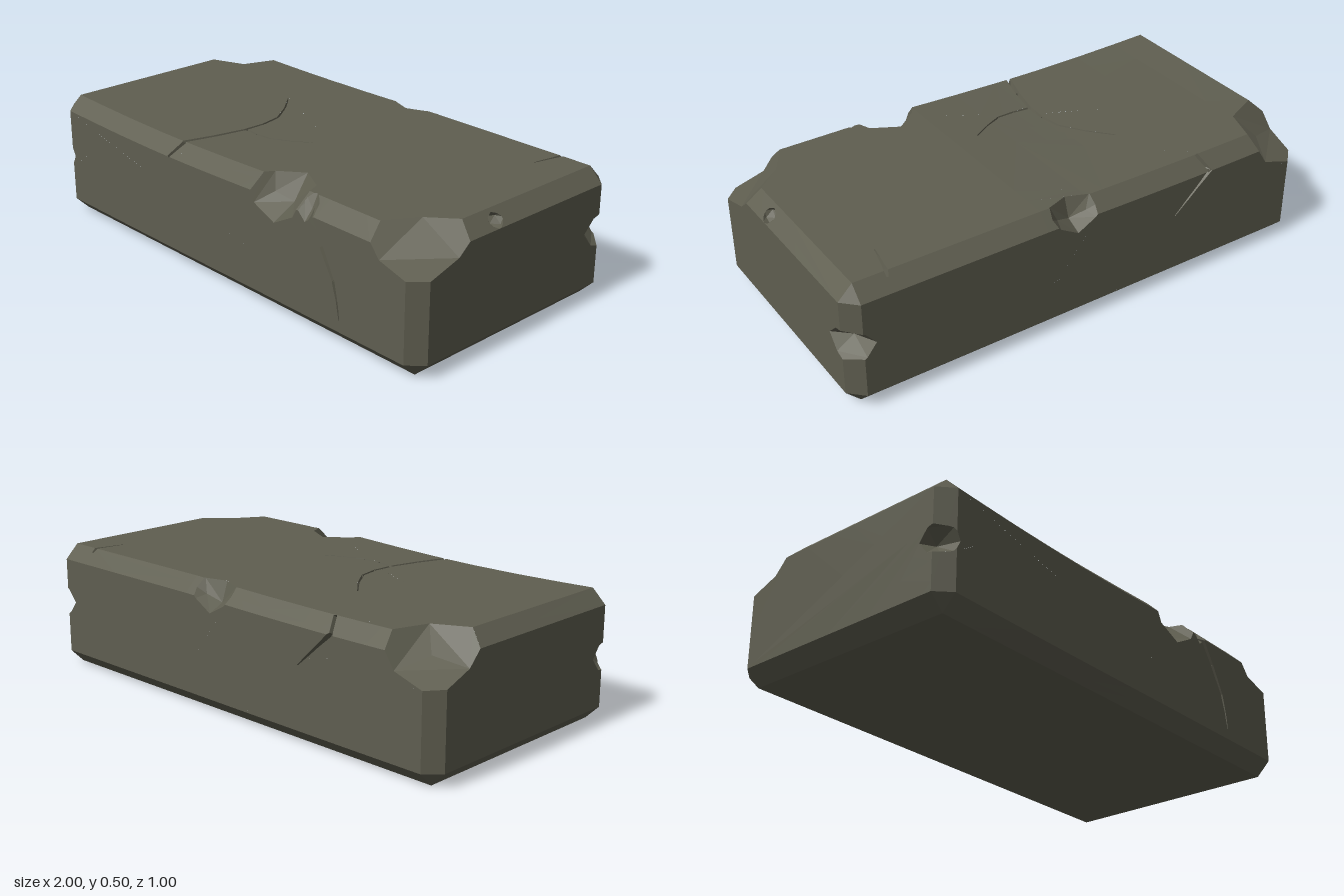
import * as THREE from 'three';
import { ConvexGeometry } from 'three/addons/geometries/ConvexGeometry.js';

const V = (x, y, z) => new THREE.Vector3(x, y, z);
const EPS = 1e-6;
const SIGNS = [-1, 0, 1];

// Every direction of a 3 x 3 x 3 lattice except its middle
const LATTICE = SIGNS.flatMap((x) => SIGNS.flatMap((y) => SIGNS.map((z) => V(x, y, z))))
  .filter((d) => d.lengthSq() > 0);

// Small seeded random numbers
let seed = 7;
const random = () => (seed = (seed * 16807) % 2147483647) / 2147483647;

// Convex solid from points: its faces as triangles, and their planes
function solid(points) {
  const p = new ConvexGeometry(points).attributes.position;
  const faces = [], planes = [];
  for (let i = 0; i < p.count; i += 3) {
    const tri = [0, 1, 2].map((k) => new THREE.Vector3().fromBufferAttribute(p, i + k));
    const plane = new THREE.Plane().setFromCoplanarPoints(...tri);
    if (plane.normal.lengthSq() < 0.5) continue;
    faces.push(tri);
    planes.push(plane);
  }
  return { faces, planes };
}

// Split a convex polygon by a plane: [outside, inside]
function split(poly, plane) {
  const d = poly.map((v) => plane.distanceToPoint(v));
  if (d.every((k) => k <= EPS)) return [null, poly];
  if (d.every((k) => k >= -EPS)) return [poly, null];
  const out = [], inn = [];
  poly.forEach((v, i) => {
    const j = (i + 1) % poly.length;
    if (d[i] >= -EPS) out.push(v);
    if (d[i] <= EPS) inn.push(v);
    if ((d[i] > EPS && d[j] < -EPS) || (d[i] < -EPS && d[j] > EPS)) {
      const m = v.clone().lerp(poly[j], d[i] / (d[i] - d[j]));
      out.push(m);
      inn.push(m);
    }
  });
  return [out, inn];
}

// Remove what lies inside a convex cutter
function subtract(polys, cutter) {
  return polys.flatMap((poly) => {
    const kept = [];
    let rest = poly;
    for (const plane of cutter.planes) {
      const [out, inn] = split(rest, plane);
      if (out) kept.push(out);
      rest = inn;
      if (!rest) return [poly];
    }
    return kept;
  });
}

// Chip: a rough faceted gem around a point on an edge or corner
function chip(centre, reach) {
  return solid(LATTICE.map((d) => {
    const fullness = [1, 0.65, 0.45][d.lengthSq() - 1] * (0.9 + 0.2 * random());
    return d.clone().multiply(reach).multiplyScalar(fullness).add(centre);
  }));
}

// Crack: V-shaped grooves along a curve, narrowing from width w0 to w1
function crack(normal, w0, w1, ...path) {
  const n = normal.clone().normalize();
  const count = (path.length - 1) * 2;
  const pts = new THREE.CatmullRomCurve3(path).getPoints(count);
  return pts.slice(1).map((end, i) => {
    const side = n.clone().cross(end.clone().sub(pts[i])).normalize();
    return solid([i, i + 1].flatMap((k) => {
      const w = THREE.MathUtils.lerp(w0, w1, k / count);
      const top = pts[k].clone().addScaledVector(n, 0.01);
      return [
        top.clone().addScaledVector(side, w),
        top.clone().addScaledVector(side, -w),
        pts[k].clone().addScaledVector(n, -0.008 - 2 * w),
      ];
    }));
  });
}

// Gentle sag of the worn top, strongest at the front
const sag = (v) => (v.x > 0.2 ? 0 : 0.015 * Math.sin((Math.PI * (v.x + 1)) / 1.2))
  * (v.y / 0.5) * (0.75 + v.z * 0.5);

// Block with a bevel along every edge
function bevelledBlock(size, bevel) {
  const corners = LATTICE.filter((d) => d.lengthSq() === 3);
  return solid(corners.flatMap((c) => ['x', 'y', 'z'].map((axis) => {
    const half = size.clone().multiplyScalar(0.5).subScalar(bevel);
    half[axis] += bevel;
    return half.multiply(c).add(V(0, size.y / 2, 0));
  })));
}

function makeChips() {
  return [
    chip(V(1, 0.5, 0.5), V(0.25, 0.15, 0.29)), // front left corner
    chip(V(-1, 0.5, -0.5), V(0.27, 0.18, 0.27)), // back right corner
    chip(V(0.31, 0.5, 0.5), V(0.15, 0.14, 0.15)), // front top edge
    chip(V(0.47, 0.5, 0.5), V(0.06, 0.08, 0.06)),
    chip(V(0.07, 0.5, -0.5), V(0.13, 0.11, 0.09)), // back top edge
    chip(V(0.98, 0.47, 0.11), V(0.04, 0.035, 0.035)), // left top edge
    chip(V(1, 0.27, -0.5), V(0.1, 0.075, 0.13)), // back left upright edge
    chip(V(-1, 0.25, 0.5), V(0.07, 0.07, 0.12)), // front right upright edge
  ];
}

function makeCracks() {
  const up = V(0, 1, 0), front = V(0, 0, 1), back = V(0, 0, -1);
  return [
    // Long curved crack on the top, its branch, and a short one at the back
    ...crack(up, 0.012, 0.004, V(-0.26, 0.5, 0.45), V(-0.195, 0.5, 0.2), V(-0.21, 0.5, 0.02), V(-0.35, 0.5, -0.16)),
    ...crack(up, 0.009, 0.003, V(-0.196, 0.5, 0.197), V(-0.05, 0.5, 0.2), V(0.1, 0.5, 0.12)),
    ...crack(up, 0.011, 0.003, V(0.82, 0.5, -0.46), V(0.79, 0.5, -0.32)),
    // Over the bevels
    ...crack(V(0, 1, 1), 0.013, 0.008, V(-0.255, 0.5, 0.444), V(-0.29, 0.444, 0.5)),
    ...crack(V(0, 1, -1), 0.01, 0.01, V(-0.51, 0.5, -0.444), V(-0.54, 0.444, -0.5)),
    // Down the front and the back
    ...crack(front, 0.015, 0.003, V(0.48, 0.46, 0.5), V(0.61, 0.24, 0.5), V(0.64, 0.1, 0.5)),
    ...crack(back, 0.012, 0.003, V(-0.54, 0.45, -0.5), V(-0.38, 0.3, -0.5)),
  ];
}

export function createModel() {
  seed = 7;
  const stone = new THREE.MeshStandardMaterial({ color: 0x5f5e50 });
  stone.name = 'stone';

  const block = bevelledBlock(V(2, 0.5, 1), 0.056);
  const cutters = [...makeChips(), ...makeCracks()];

  // Outer faces, then the inside of each cut turned to face outwards
  let polys = cutters.reduce(subtract, block.faces);
  cutters.forEach((cutter) => {
    let faces = cutter.faces;
    for (const plane of block.planes) faces = faces.map((f) => split(f, plane)[1]).filter(Boolean);
    faces = cutters.filter((other) => other !== cutter).reduce(subtract, faces);
    polys.push(...faces.map((f) => [...f].reverse()));
  });

  // Slice along x so the top can sag
  for (let i = 0; i < 6; i++) {
    const plane = new THREE.Plane(V(1, 0, 0), 0.8 - i * 0.2);
    polys = polys.flatMap((p) => split(p, plane).filter(Boolean));
  }

  // Fan each polygon into flat triangles
  const points = [];
  for (const poly of polys) {
    for (let i = 1; i < poly.length - 1; i++) {
      for (const v of [poly[0], poly[i], poly[i + 1]]) points.push(V(v.x, v.y - sag(v), v.z));
    }
  }
  const geometry = new THREE.BufferGeometry().setFromPoints(points);
  geometry.computeVertexNormals();

  const mesh = new THREE.Mesh(geometry, stone);
  mesh.name = 'stoneBlock';
  const group = new THREE.Group();
  group.name = 'chippedStoneBlock';
  group.add(mesh);
  return group;
}
